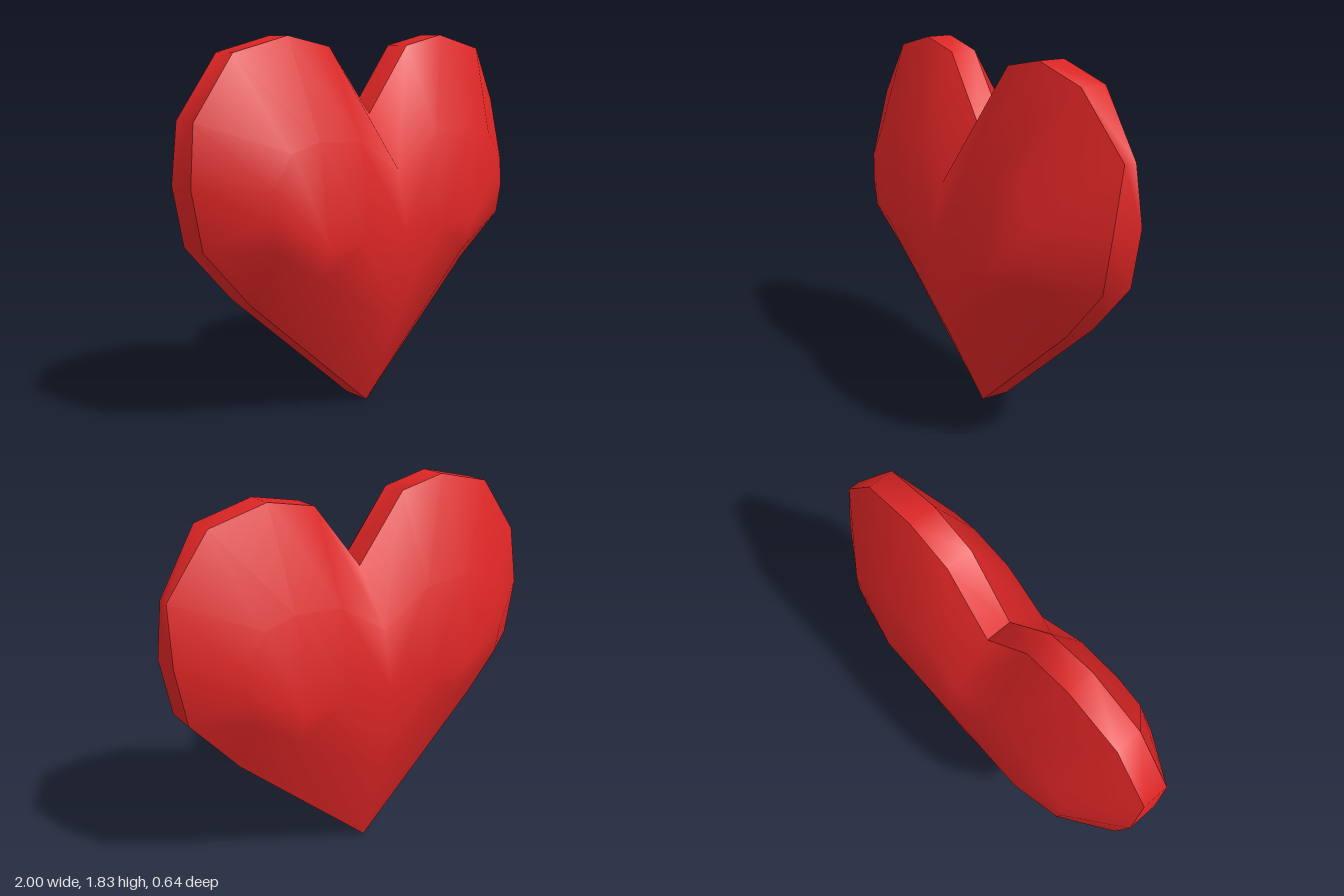
import * as THREE from 'three';
import { mergeVertices } from 'three/addons/utils/BufferGeometryUtils.js';

// Half outline from the notch to the tip: x, y, front rim z, back rim z
const RIM = [
  [0, 1.46, 0.06, -0.07], [0.25, 1.78, 0.06, -0.07], [0.49, 1.83, 0.06, -0.07],
  [0.78, 1.76, 0.055, -0.07], [0.99, 1.48, -0.01, -0.07], [1, 1.2, 0.04, -0.11],
  [0.95, 0.92, 0.04, -0.11], [0.71, 0.64, 0.04, -0.11], [0, 0, 0.04, -0.11],
];
// Shoulder ring of the dome: x, y, depth
const SHOULDER = [
  [0, 1.2, 0.27], [0.25, 1.36, 0.27], [0.49, 1.38, 0.27], [0.64, 1.34, 0.27],
  [0.74, 1.2, 0.27], [0.75, 1.06, 0.27], [0.72, 0.92, 0.27], [0.47, 0.75, 0.25],
  [0, 0.46, 0.25],
];
// Where each shoulder point meets the flat ridge across the middle
const RIDGE_X = [0, 0.25, 0.48, 0.48, 0.48, 0.48, 0.48, 0.25, 0];

function rimPoint(i, side, face) {
  const [x, y, zf, zb] = RIM[i];
  // The left lobe keeps a full-width rim at its upper corner
  const front = side < 0 && i === 4 ? 0.06 : zf;
  return [x * side, y, face > 0 ? front : zb];
}

function buildSurface(triangles) {
  const geometry = new THREE.BufferGeometry();
  geometry.setAttribute('position', new THREE.Float32BufferAttribute(triangles.flat(2), 3));
  const welded = mergeVertices(geometry, 1e-4);
  welded.computeVertexNormals();
  return welded;
}

// Adds a quad a-b (outer) over c-d (inner), skipping collapsed corners
function addQuad(list, a, b, c, d, flip) {
  const same = (p, q) => p.every((v, k) => v === q[k]);
  for (const t of [[a, c, b], [b, c, d]]) {
    if (same(t[0], t[1]) || same(t[1], t[2]) || same(t[0], t[2])) continue;
    list.push(flip ? [t[0], t[2], t[1]] : t);
  }
}

// Smooth domed face, front or back
function dome(face) {
  const list = [];
  for (const side of [1, -1]) {
    const mid = i => [SHOULDER[i][0] * side, SHOULDER[i][1], SHOULDER[i][2] * face];
    const ridge = i => [RIDGE_X[i] * side, 0.92, 0.32 * face];
    for (let i = 0; i < RIM.length - 1; i++) {
      const flip = side * face < 0;
      addQuad(list, rimPoint(i, side, face), rimPoint(i + 1, side, face), mid(i), mid(i + 1), flip);
      addQuad(list, mid(i), mid(i + 1), ridge(i), ridge(i + 1), flip);
    }
  }
  return buildSurface(list);
}

// Edge band of one half; halves stay separate so notch and tip are sharp
function band(side) {
  const list = [];
  for (let i = 0; i < RIM.length - 1; i++) {
    addQuad(list, rimPoint(i, side, -1), rimPoint(i + 1, side, -1),
      rimPoint(i, side, 1), rimPoint(i + 1, side, 1), side < 0);
  }
  return buildSurface(list);
}

export function createModel() {
  const heart = new THREE.Group();
  heart.name = 'heart';
  const red = new THREE.MeshStandardMaterial({ color: 0xdd2525 });
  red.name = 'red';

  const add = (name, geometry) => {
    const mesh = new THREE.Mesh(geometry, red);
    mesh.name = name;
    heart.add(mesh);
  };
  add('frontDome', dome(1));
  add('backDome', dome(-1));
  add('leftRim', band(1));
  add('rightRim', band(-1));
  return heart;
}
